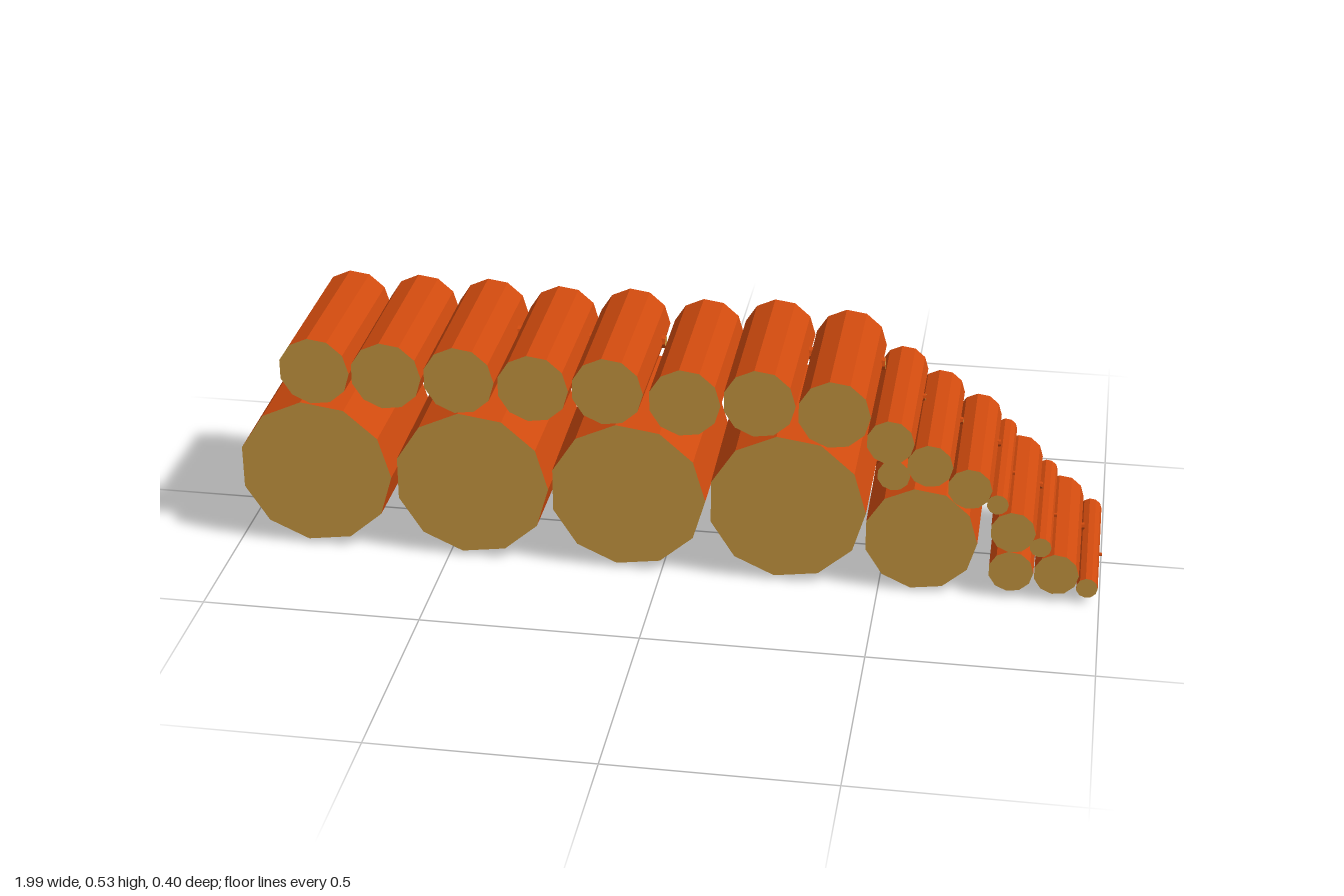
import * as THREE from 'three';

export function createModel() {
  const model = new THREE.Group();
  model.name = 'logPile';

  const bark = new THREE.MeshStandardMaterial({ color: 0xcf4a0e, flatShading: true });
  bark.name = 'bark';
  const wood = new THREE.MeshStandardMaterial({ color: 0xcd9b42, flatShading: true });
  wood.name = 'cut wood';

  // A log lying along z, its front end a little thinner and nudged up and right
  function addLog(name, x, y, r, zFront, zBack, knotZ, knotR, knotEnd) {
    const log = new THREE.Group();
    log.name = name;
    log.position.set(x, y, 0);

    const length = zFront - zBack;
    const geo = new THREE.CylinderGeometry(r * 0.98, r, length, 11, 1, false, Math.PI / 2);
    geo.rotateX(Math.PI / 2);
    const p = geo.attributes.position;
    for (let i = 0; i < p.count; i++) {
      if (p.getZ(i) > 0) p.setXY(i, p.getX(i) + r * 0.02, p.getY(i) + r * 0.025);
    }
    geo.translate(0, 0, (zFront + zBack) / 2);
    const trunk = new THREE.Mesh(geo, [bark, wood, wood]);
    trunk.name = 'trunk';
    log.add(trunk);

    // Short cut branch on the +x side
    const reach = r * 0.5 + 0.006;
    const knotGeo = new THREE.CylinderGeometry(knotR * 0.8, knotR, reach, 7);
    knotGeo.rotateZ(-Math.PI / 2);
    const knot = new THREE.Mesh(knotGeo, [bark, knotEnd, knotEnd]);
    knot.name = 'branchStub';
    knot.position.set(r * 0.5 + reach / 2, 0, knotZ);
    log.add(knot);
    model.add(log);
  }

  // Bottom row of thick logs
  for (const x of [-0.816, -0.447, -0.083, 0.283]) {
    addLog('thickLog', x, 0.184, 0.184, 0.195, -0.193, -0.09, 0.02, wood);
  }
  addLog('mediumLog', 0.589, 0.13, 0.131, 0.195, -0.193, -0.09, 0.015, wood);

  // Upper row
  const upper = [
    [-0.803, 0.446], [-0.635, 0.447], [-0.467, 0.447], [-0.296, 0.441],
    [-0.125, 0.447], [0.05, 0.431], [0.219, 0.443], [0.387, 0.429],
  ];
  upper.forEach(([x, y], i) => {
    const shift = [0, 0.001, -0.002][i % 3];
    addLog('upperLog', x, y, 0.084, 0.195 + shift, -0.193 + shift, -0.09, 0.018, wood);
  });

  // Thin logs stepping down the sloping end
  const thin = [
    [0.515, 0.372, 0.055, 0.198, -0.197], [0.605, 0.319, 0.053, 0.195, -0.196],
    [0.696, 0.268, 0.051, 0.193, -0.192], [0.525, 0.288, 0.038, 0.192, -0.192],
    [0.797, 0.166, 0.052, 0.193, -0.192], [0.797, 0.066, 0.052, 0.193, -0.192],
    [0.899, 0.067, 0.052, 0.193, -0.192],
  ];
  for (const [x, y, r, front, back] of thin) {
    addLog('thinLog', x, y, r, front, back, -0.047, 0.01, wood);
  }

  // Sticks wedged in the gaps
  for (const [x, y] of [[0.76, 0.234], [0.861, 0.133], [0.97, 0.038]]) {
    addLog('stick', x, y, 0.025, 0.192, -0.192, 0.03, 0.005, bark);
  }

  return model;
}
